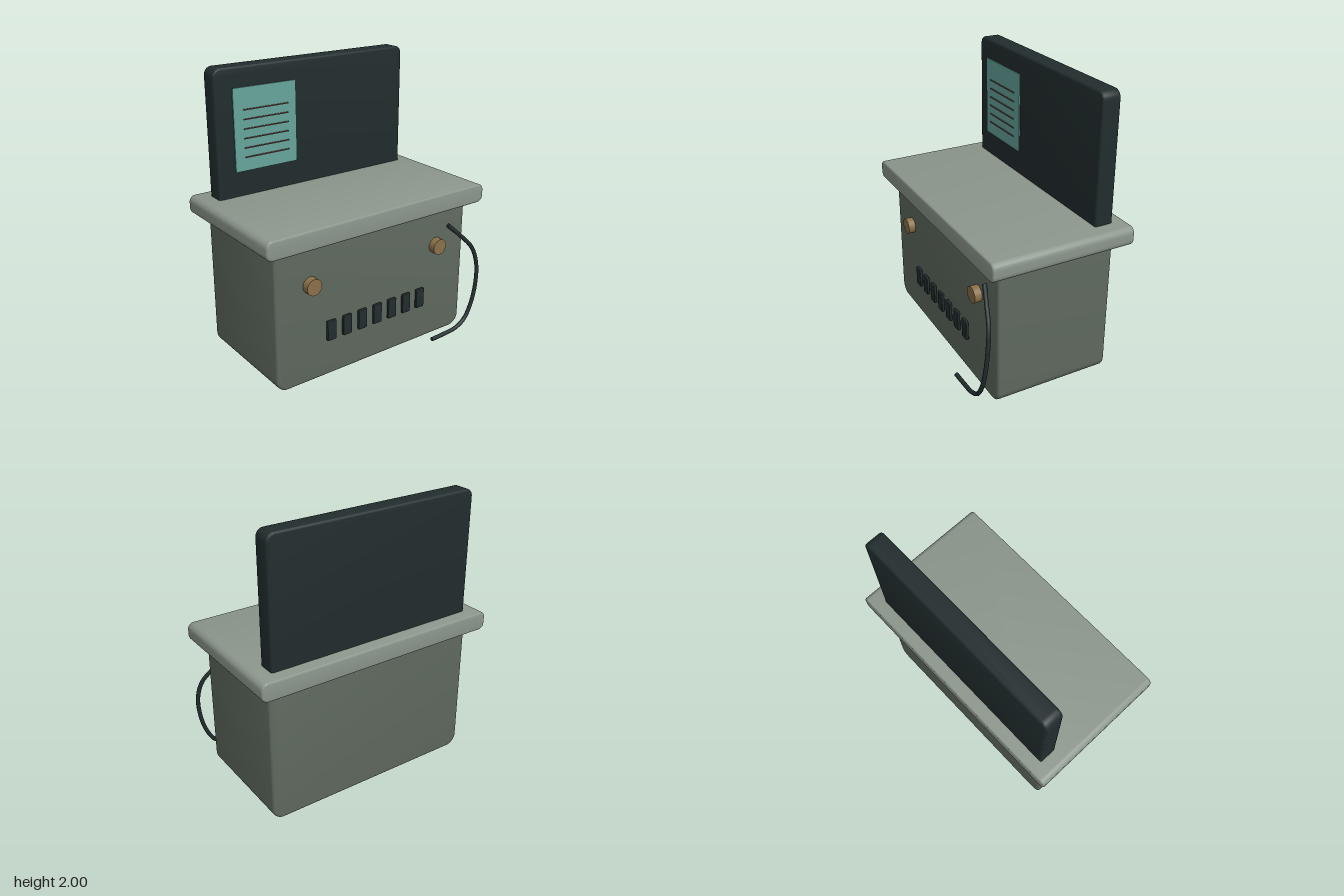
import * as THREE from 'three';
import { toCreasedNormals } from 'three/addons/utils/BufferGeometryUtils.js';

const paint = (name, color) => Object.assign(new THREE.MeshStandardMaterial({ color }), { name });

// Rounded slab in the xy plane with a small bevel on its front and back rims
function slab(x0, x1, y0, y1, z0, z1, radius, bevel) {
  const l = x0 + bevel, r = x1 - bevel, b = y0 + bevel, t = y1 - bevel;
  const c = Math.max(radius - bevel, 0.002);
  const shape = new THREE.Shape();
  shape.moveTo(l + c, b);
  shape.lineTo(r - c, b);
  shape.absarc(r - c, b + c, c, -Math.PI / 2, 0);
  shape.lineTo(r, t - c);
  shape.absarc(r - c, t - c, c, 0, Math.PI / 2);
  shape.lineTo(l + c, t);
  shape.absarc(l + c, t - c, c, Math.PI / 2, Math.PI);
  shape.lineTo(l, b + c);
  shape.absarc(l + c, b + c, c, Math.PI, Math.PI * 1.5);
  const geometry = new THREE.ExtrudeGeometry(shape, {
    depth: z1 - z0 - 2 * bevel, bevelThickness: bevel, bevelSize: bevel,
    bevelSegments: 3, curveSegments: 6,
  });
  geometry.translate(0, 0, z0 + bevel);
  return toCreasedNormals(geometry, 0.6);
}

export function createModel() {
  const model = new THREE.Group();
  model.name = 'console';
  const bodyGrey = paint('body grey green', 0x5f695f);
  const topGrey = paint('pale grey green', 0x8b968c);
  const dark = paint('dark slate', 0x222d2e);
  const teal = paint('teal', 0x66a59d);
  const brass = paint('brass', 0x8a704a);
  const ink = paint('ink brown', 0x6a4b48);

  const add = (name, geometry, material, x = 0, y = 0, z = 0) => {
    const mesh = new THREE.Mesh(geometry, material);
    mesh.name = name;
    mesh.position.set(x, y, z);
    model.add(mesh);
    return mesh;
  };

  // Cabinet, worktop and upright panel
  add('cabinet', slab(-0.8, 0.8, 0.005, 1.04, -0.435, 0.395, 0.085, 0.018), bodyGrey);
  add('worktop', slab(-0.895, 0.895, 0.99, 1.122, -0.53, 0.48, 0.045, 0.012), topGrey);
  add('backPanel', slab(-0.775, 0.775, 1.06, 2, -0.44, -0.31, 0.055, 0.015), dark);

  // Sheet with ruled lines, standing just clear of the panel
  add('sheet', new THREE.BoxGeometry(0.482, 0.566, 0.009), teal, -0.409, 1.582, -0.296);
  for (let i = 0; i < 6; i++) {
    add('sheetLine', new THREE.BoxGeometry(0.345, 0.008, 0.006), ink, -0.407, 1.717 - i * 0.0645, -0.285);
  }

  // Pair of round knobs
  for (const x of [-0.535, 0.533]) {
    add('knob', new THREE.CylinderGeometry(0.057, 0.057, 0.06, 24), brass, x, 0.714, 0.416).rotation.x = Math.PI / 2;
  }

  // Row of keys
  const key = slab(-0.035, 0.035, -0.072, 0.072, -0.01, 0.01, 0.006, 0.004);
  for (let i = -3; i <= 3; i++) add('key', key, dark, -0.004 + i * 0.128, 0.352, 0.418);

  // Hanging cable with closed ends
  const path = new THREE.CatmullRomCurve3([
    [0.64, 0.84, 0.405], [0.735, 0.75, 0.44], [0.825, 0.645, 0.473], [0.857, 0.52, 0.496],
    [0.85, 0.37, 0.507], [0.81, 0.215, 0.511], [0.745, 0.105, 0.513], [0.66, 0.058, 0.514],
    [0.55, 0.046, 0.514], [0.43, 0.041, 0.514],
  ].map((p) => new THREE.Vector3(...p)));
  add('cable', new THREE.TubeGeometry(path, 48, 0.015, 10), dark);
  for (const [t, sign] of [[0, -1], [1, 1]]) {
    const cap = add('cableEnd', new THREE.CircleGeometry(0.015, 10), dark);
    cap.position.copy(path.getPoint(t));
    cap.quaternion.setFromUnitVectors(new THREE.Vector3(0, 0, 1), path.getTangent(t).multiplyScalar(sign));
  }
  return model;
}
